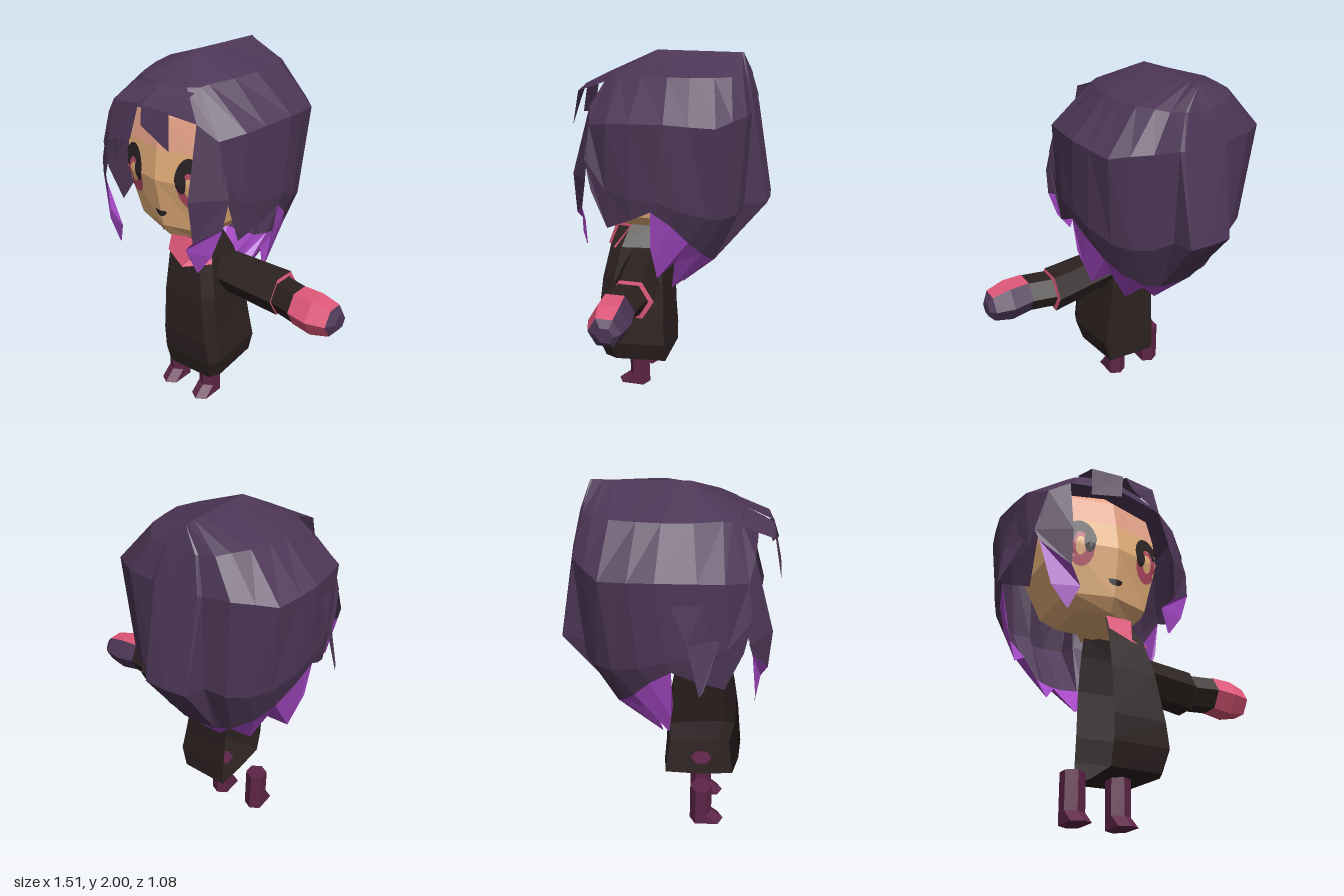
import * as THREE from 'three';

const CX = -0.2; // symmetry line of the figure

const paint = (name, color) => new THREE.MeshStandardMaterial({
  name, color, flatShading: true, side: THREE.DoubleSide });

// Surface through rows of [x, y, z] points
function grid(rows) {
  const n = rows[0].length, index = [];
  for (let r = 0; r < rows.length - 1; r++) {
    for (let c = 0; c < n - 1; c++) {
      const a = r * n + c, b = a + n;
      index.push(a, b, a + 1, a + 1, b, b + 1);
    }
  }
  const g = new THREE.BufferGeometry();
  g.setAttribute('position', new THREE.Float32BufferAttribute(rows.flat(2), 3));
  g.setIndex(index);
  const flat = g.toNonIndexed();
  flat.computeVertexNormals();
  return flat;
}

export function createModel() {
  const model = new THREE.Group();
  const hair = paint('dark purple', 0x4d3656), tipsMat = paint('bright purple', 0xa448c4);
  const skin = paint('skin', 0xe6b07a), blush = paint('warm forehead', 0xeaa68a);
  const cloth = paint('black cloth', 0x2b2120), pink = paint('pink', 0xe0587a);
  const boots = paint('plum', 0x5e2548), ink = paint('eye black', 0x2a2224);
  const iris = paint('eye rose', 0xb84c66);

  const add = (name, geometry, material, parent = model) => {
    const mesh = new THREE.Mesh(geometry, material);
    mesh.name = name;
    parent.add(mesh);
    return mesh;
  };
  const flip = (rows, m) => rows.map(r => r.map(([x, y, z]) => [CX + m * x, y, z]));

  // Head: rings of [y, half width, front z, back z]
  const headRings = [[1.04, 0.08, 0.25, 0.1], [1.06, 0.17, 0.34, 0.04], [1.13, 0.235, 0.385, -0.03],
    [1.4, 0.29, 0.43, -0.15], [1.56, 0.29, 0.405, -0.2], [1.72, 0.27, 0.37, -0.2], [1.82, 0.2, 0.27, -0.15]];
  const headRow = ([y, w, f, b]) => [[0, f], [0.9 * w, f - 0.06], [w, f - 0.14], [w, b], [-w, b],
    [-w, f - 0.14], [-0.9 * w, f - 0.06], [0, f]].map(([x, z]) => [CX + x, y, z]);
  add('face', grid([headRow([1.04, 0, 0.14, 0.14]), ...headRings.slice(0, 5).map(headRow)]), skin);
  add('forehead', grid(headRings.slice(4).map(headRow)), blush);

  // Flat painted details wrapped onto the face
  const faceZ = (dx, y) => {
    let i = 1;
    while (i < headRings.length - 2 && y > headRings[i + 1][0]) i++;
    const [a, b] = [headRings[i], headRings[i + 1]], t = (y - a[0]) / (b[0] - a[0]);
    const w = a[1] + (b[1] - a[1]) * t, f = a[2] + (b[2] - a[2]) * t, e = 0.9 * w, d = Math.abs(dx);
    return d < e ? f - 0.06 * d / e : f - 0.06 - 0.08 * (d - e) / (w - e);
  };
  const decal = (name, mat, cx, cy, rx, ry, inner, a0, a1, lift) => {
    const rows = [];
    for (let i = 0; i <= 16; i++) {
      const a = a0 + (a1 - a0) * i / 16;
      rows.push([inner, (1 + inner) / 2, 1].map(k => {
        const x = cx + rx * k * Math.cos(a), y = cy + ry * k * Math.sin(a);
        return [CX + x, y, faceZ(x, y) + lift];
      }));
    }
    add(name, grid(rows), mat);
  };
  for (const m of [1, -1]) {
    decal('iris', iris, m * 0.19, 1.37, 0.067, 0.1, 0, 0, Math.PI * 2, 0.006);
    decal('eyeLight', skin, m * 0.195, 1.385, 0.028, 0.055, 0, 0, Math.PI * 2, 0.0075);
    decal('pupil', ink, m * 0.15, 1.41, 0.03, 0.06, 0, 0, Math.PI * 2, 0.009);
    decal('eyelash', ink, m * 0.195, 1.415, 0.08, 0.128, 0.42, 0, Math.PI, 0.0098);
  }
  decal('mouth', ink, 0, 1.225, 0.04, 0.035, 0, Math.PI, Math.PI * 2, 0.007);

  // Hair cap: columns from the back centre round to the front, top to bottom
  const dark = [
    [[0, 2, -0.36], [0, 1.88, -0.4], [0, 1.72, -0.44], [0, 1.23, -0.54], [0, 0.85, -0.25]],
    [[0, 2, -0.36], [0.08, 1.89, -0.4], [0.12, 1.72, -0.44], [0.12, 1.23, -0.53], [0.1, 0.86, -0.25]],
    [[0, 2, -0.36], [0.09, 1.89, -0.39], [0.14, 1.72, -0.43], [0.14, 1.22, -0.41], [0.13, 0.87, -0.24]],
    [[0, 2, -0.35], [0.17, 1.9, -0.38], [0.28, 1.73, -0.42], [0.25, 1.2, -0.39], [0.2, 0.9, -0.25]],
    [[0, 2, -0.3], [0.22, 1.91, -0.33], [0.37, 1.72, -0.36], [0.34, 1.2, -0.33], [0.31, 0.98, -0.21]],
    [[0, 2, -0.25], [0.27, 1.91, -0.25], [0.45, 1.7, -0.29], [0.41, 1.22, -0.25], [0.39, 1.07, -0.15]],
    [[0, 2, -0.12], [0.29, 1.91, -0.13], [0.48, 1.71, -0.16], [0.47, 1.27, -0.12], [0.45, 1.18, -0.07]],
    [[0, 2, 0], [0.3, 1.91, -0.02], [0.5, 1.72, -0.04], [0.49, 1.32, 0], [0.48, 1.26, 0.03]]];
  const front = [dark[7],
    [[0, 2, 0.05], [0.27, 1.9, 0.12], [0.48, 1.71, 0.14], [0.48, 1.32, 0.14], [0.46, 1.2, 0.14]],
    [[0, 2, 0.1], [0.22, 1.89, 0.25], [0.46, 1.7, 0.26], [0.44, 1.35, 0.28], [0.42, 1.13, 0.28]],
    [[0, 2, 0.1], [0.2, 1.88, 0.29], [0.38, 1.67, 0.37], [0.42, 1.5, 0.39], [0.43, 1.34, 0.36]]];
  const crown = [[[0, 2, 0.1], [0.2, 1.88, 0.29], [0.38, 1.67, 0.37]],
    [[0, 2, 0.1], [0.15, 1.88, 0.33], [0.27, 1.74, 0.4]],
    [[0, 2, 0.1], [0, 1.88, 0.36], [0, 1.77, 0.43]]];
  // Ragged ends below the dark part of the back hair
  const ends = [[0, 0.65, -0.05], [0.09, 0.75, -0.08], [0.13, 0.76, -0.05], [0.18, 0.69, -0.02],
    [0.3, 0.91, -0.06], [0.38, 0.84, 0.02], [0.42, 0.96, 0.03], [0.45, 1.05, 0.04]];
  for (const m of [1, -1]) {
    add('backHair', grid(flip(dark, m)), hair);
    add('sideHair', grid(flip(front, m)), hair);
    add('crownHair', grid(flip(crown, m)), hair);
    add('backHairEnds', grid(flip(dark.map((c, i) => [c[4], ends[i]]), m)), tipsMat);
    // Long strand beside the face, coloured higher up on the right
    const low = m > 0 ? [[0.3, 1.16, 0.485], [0.43, 1.24, 0.41]] : [[0.29, 1.18, 0.49], [0.43, 1.33, 0.4]];
    add('faceStrand', grid(flip([[[0.27, 1.74, 0.4], [0.38, 1.67, 0.37]],
      [[0.29, 1.38, 0.5], [0.45, 1.4, 0.38]], low], m)), hair);
    add('faceStrandEnd', grid(flip([low, [[0.23, 1.09, 0.465], [0.37, 1.08, 0.43]],
      [[0.28, 0.97, 0.44], [0.29, 0.97, 0.44]]], m)), tipsMat);
  }
  // Fringe, two uneven locks
  add('fringe', grid(flip([[[-0.2, 1.86, 0.33], [0, 1.88, 0.36]],
    [[-0.19, 1.8, 0.49], [-0.01, 1.81, 0.5]], [[-0.21, 1.6, 0.53], [-0.04, 1.64, 0.54]]], 1)), hair);
  add('fringe', grid(flip([[[0, 1.88, 0.36], [0.2, 1.86, 0.33]],
    [[0.01, 1.81, 0.5], [0.18, 1.8, 0.49]], [[0.03, 1.72, 0.53], [0.2, 1.62, 0.52]]], 1)), hair);
  add('looseStrand', grid([[[-0.68, 1.72, -0.02], [-0.66, 1.7, 0.2]],
    [[-0.71, 1.42, 0.1], [-0.65, 1.42, 0.25]], [[-0.75, 1.17, 0.16], [-0.74, 1.2, 0.18]]]), hair);

  // Half robe, open on its right: [y, side x, front z, back z]
  const robe = [[1.06, -0.04, 0.3, 0.06], [0.94, 0.03, 0.34, 0.03], [0.75, 0.07, 0.38, 0],
    [0.5, 0.11, 0.405, -0.01], [0.37, 0.13, 0.4, -0.02], [0.25, 0.1, 0.37, -0.02]];
  const robeRow = ([y, x, f, b]) => [[-0.21, y, f], [x - 0.03, y, f - 0.01], [x, y, f - 0.08],
    [x - 0.03, y, b + 0.02], [-0.21, y, b]];
  add('robe', grid(robe.map(robeRow)), cloth);
  const hem = robeRow(robe[5]);
  add('robeFloor', grid([hem, hem.map(() => [-0.21, 0.24, 0.17])]), cloth);
  add('collar', grid([[[-0.21, 1.06, 0.315], [-0.06, 1.065, 0.307], [-0.025, 1.06, 0.21]],
    [[-0.21, 0.97, 0.348], [-0.09, 0.91, 0.37], [0.05, 0.94, 0.29]]]), pink);

  // Arm: rings of [x, y, z, radius] over an arc
  const tube = (rings, from = 0, to = 6) => grid(rings.map(([x, y, z, r]) =>
    Array.from({ length: to - from + 1 }, (_, i) => {
      const a = (from + i) * Math.PI / 3;
      return [x, y + r * Math.sin(a), z + r * Math.cos(a)];
    })));
  const arm = new THREE.Group();
  arm.name = 'arm';
  model.add(arm);
  add('sleeve', tube([[0, 0.84, 0.14, 0.11], [0.39, 0.81, 0.11, 0.122]]), cloth, arm);
  add('cuff', tube([[0.391, 0.81, 0.11, 0.122], [0.395, 0.81, 0.115, 0.1]]), pink, arm);
  add('wrist', tube([[0.37, 0.81, 0.12, 0.1], [0.53, 0.81, 0.155, 0.1]]), cloth, arm);
  const hand = [[0.52, 0.81, 0.155, 0.102], [0.63, 0.8, 0.155, 0.11], [0.73, 0.8, 0.15, 0.085]];
  add('palm', tube(hand, -2, 2), pink, arm);
  add('handBack', tube(hand, 2, 4), hair, arm);
  add('handEnd', tube([hand[2], [0.76, 0.8, 0.14, 0.045], [0.76, 0.8, 0.14, 0]]), hair, arm);

  // Legs with the toe drawn forward
  const leg = new THREE.CylinderGeometry(0.062, 0.062, 0.25, 6, 2);
  const p = leg.attributes.position;
  for (let i = 0; i < p.count; i++) {
    if (Math.abs(p.getY(i)) < 0.01) p.setY(i, -0.065);
    else if (p.getY(i) < 0 && p.getZ(i) > 0.01) p.setZ(i, p.getZ(i) + 0.07);
  }
  for (const x of [-0.075, -0.318]) add('leg', leg, boots).position.set(x, 0.125, 0.19);

  return model;
}
